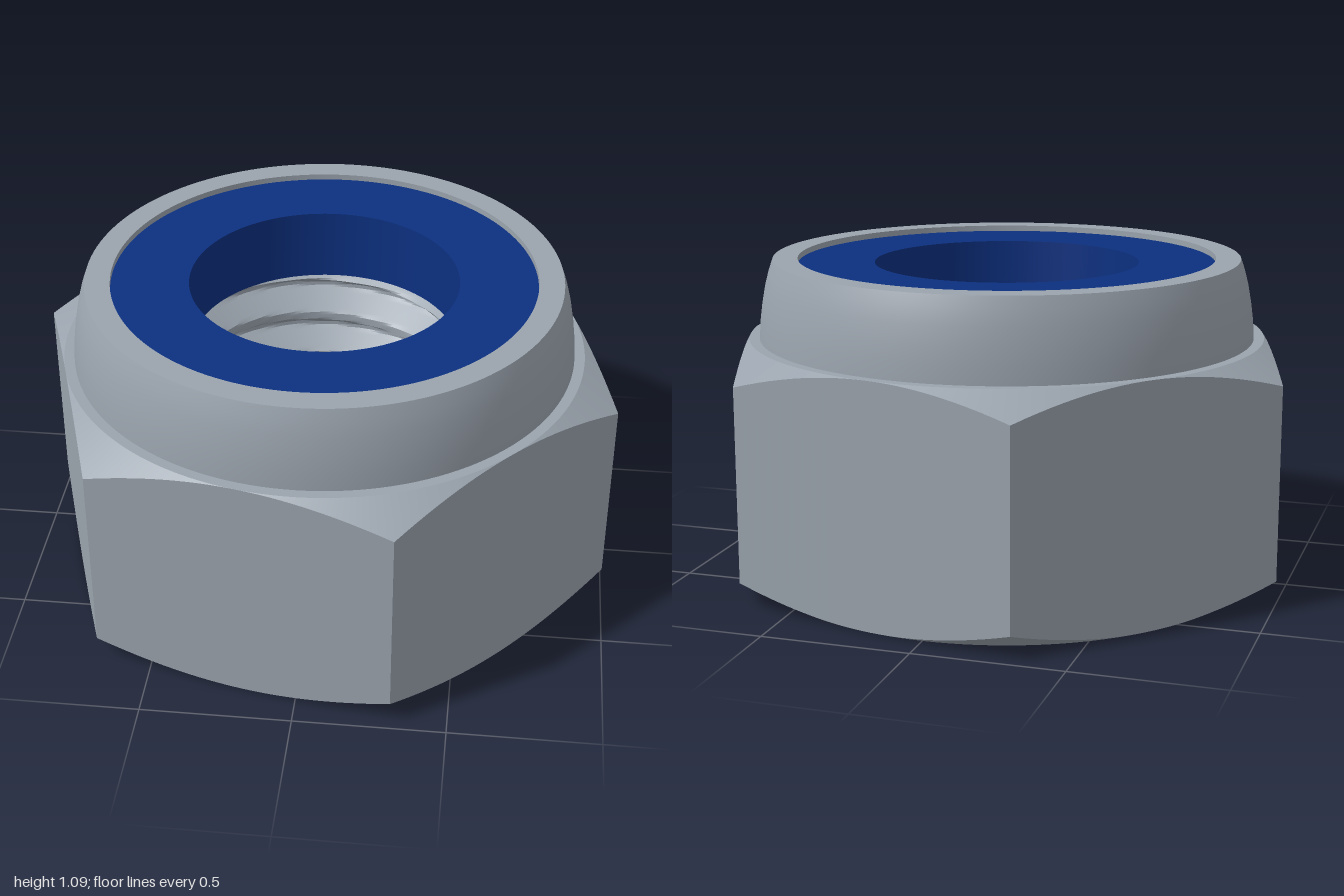
import * as THREE from 'three';
import { toCreasedNormals } from 'three/addons/utils/BufferGeometryUtils.js';

const SEGMENTS = 144;
const OFFSET = Math.PI / 15; // hexagon corner angle, 12 degrees
const APOTHEM = 0.885, CORNER = APOTHEM / Math.cos(Math.PI / 6);
const BODY_TOP = 0.82, CHAMFER_SLOPE = 0.58;
const MINOR = 0.453, MAJOR = 0.545, PITCH = 0.17;

// Sweeps a profile round the y axis; at(row, angle) gives [radius, y].
// Walk the profile anticlockwise: bottom outwards, outside up, inside down.
function sweep(rows, at, crease) {
  const points = [], index = [];
  const stride = SEGMENTS + 1;
  for (let i = 0; i < rows; i++) {
    for (let j = 0; j <= SEGMENTS; j++) {
      const t = (j % SEGMENTS) / SEGMENTS * Math.PI * 2;
      const [r, y] = at(i, t);
      points.push(r * Math.cos(t + OFFSET), y, r * Math.sin(t + OFFSET));
      if (i < rows - 1 && j < SEGMENTS) {
        const a = i * stride + j, b = a + stride;
        index.push(a, b, a + 1, b, b + 1, a + 1);
      }
    }
  }
  const geometry = new THREE.BufferGeometry();
  geometry.setAttribute('position', new THREE.Float32BufferAttribute(points, 3));
  geometry.setIndex(index);
  return toCreasedNormals(geometry, crease);
}

const sweepProfile = (profile, crease = 0.4) => sweep(profile.length, (i) => profile[i], crease);

// Distance from the axis to the hexagon's side at an angle from a corner
function hexRadius(t) {
  const sixth = Math.PI / 3;
  return Math.min(CORNER, APOTHEM / Math.cos((t % sixth) - sixth / 2));
}

// Hexagon with conical chamfers, which leave curved edges on the flats
function bodyGeometry() {
  return sweep(6, (i, t) => {
    const r = hexRadius(t);
    const drop = Math.max(0, r - APOTHEM) * CHAMFER_SLOPE;
    return [
      [MAJOR, 0], [APOTHEM, 0], [r, drop],
      [r, BODY_TOP - drop], [APOTHEM, BODY_TOP], [0.84, BODY_TOP],
    ][i];
  }, 0.3);
}

// Right-handed internal thread with a countersink at each end
function threadGeometry() {
  const rows = 121;
  return sweep(rows, (i, t) => {
    const y = BODY_TOP * (1 - i / (rows - 1));
    const turn = y / PITCH + t / (Math.PI * 2);
    const wave = Math.abs((turn - Math.floor(turn)) * 2 - 1);
    const depth = THREE.MathUtils.clamp((wave - 0.18) / 0.72, 0, 1);
    const end = Math.min(y, BODY_TOP - y);
    const sink = MAJOR - end * 1.7;
    return [Math.max(MINOR + (MAJOR - MINOR) * depth, sink), y];
  }, 0.6);
}

export function createModel() {
  const steel = new THREE.MeshStandardMaterial({ color: 0x9aa3ad });
  steel.name = 'steel grey';
  const nylon = new THREE.MeshStandardMaterial({ color: 0x0c3080 });
  nylon.name = 'nylon blue';

  const model = new THREE.Group();
  model.name = 'lockNut';
  const add = (name, geometry, material) => {
    const mesh = new THREE.Mesh(geometry, material);
    mesh.name = name;
    model.add(mesh);
  };

  add('hexBody', bodyGeometry(), steel);
  add('thread', threadGeometry(), steel);

  // Collar curls inwards over the insert, with a small lip
  add('collar', sweepProfile([
    [0.85, BODY_TOP], [0.846, 0.88], [0.838, 0.94], [0.827, 1.0],
    [0.814, 1.05], [0.8, 1.09], [0.715, 1.09], [0.715, 1.065],
  ]), steel);

  // Insert ring, closed all round
  add('insertRing', sweepProfile([
    [MINOR, BODY_TOP], [0.72, BODY_TOP], [0.72, 1.07],
    [MINOR, 1.07], [MINOR, BODY_TOP],
  ]), nylon);

  return model;
}
